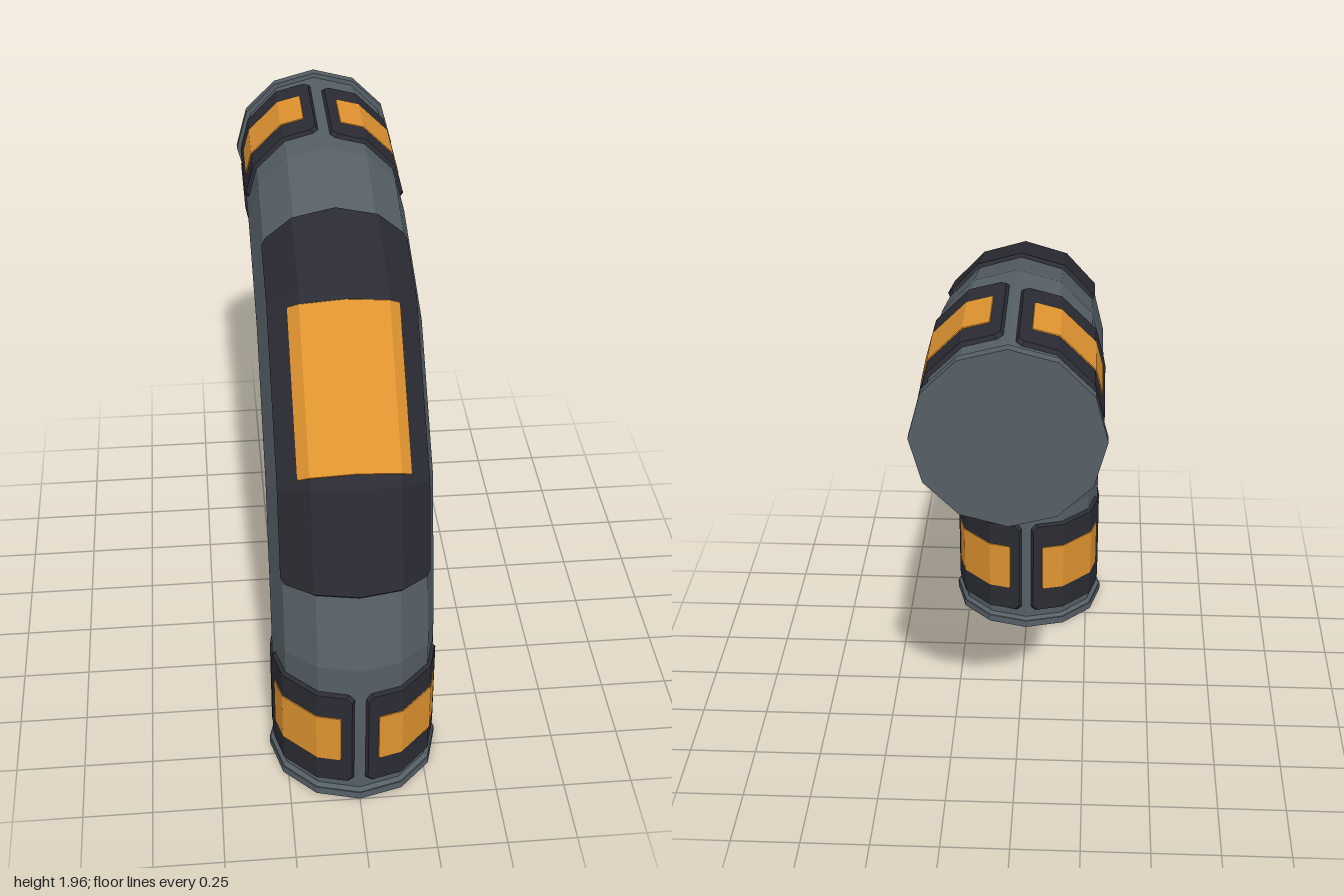
import * as THREE from 'three';

const SIDES = 12, PIPE_R = 0.292, FLANGE_R = 0.31;
const BEND_R = 1.075, BEND_Z = -0.385, BEND_Y = 0.575;
const rad = THREE.MathUtils.degToRad;

// Centreline: upright run, three-segment bend, level run to the back
const path = [new THREE.Vector3(0, 0, 0.69)];
for (let i = 0; i <= 3; i++) {
  const t = rad(30 * i);
  path.push(new THREE.Vector3(0, BEND_Y + BEND_R * Math.sin(t), BEND_Z + BEND_R * Math.cos(t)));
}
path.push(new THREE.Vector3(0, 1.65, -1));
const dirs = path.slice(1).map((p, i) => p.clone().sub(path[i]).normalize());
const outward = (d) => new THREE.Vector3(0, -d.z, d.y);

// Cross-section frames: square to a segment, or mitred at a joint
function frame(seg, s) {
  return { p: path[seg].clone().addScaledVector(dirs[seg], s), n: outward(dirs[seg]) };
}
function joint(j) {
  const mid = dirs[j - 1].clone().add(dirs[j]).normalize();
  return { p: path[j].clone(), n: outward(mid).divideScalar(mid.dot(dirs[j])) };
}
// Point on the faceted tube surface at angle a (degrees, 0 = outside of the bend)
function surfacePoint(f, a, r) {
  const step = 360 / SIDES;
  const local = (((a % step) + step) % step) - step / 2;
  const k = r * Math.cos(rad(step / 2)) / Math.cos(rad(local));
  const v = f.p.clone().addScaledVector(f.n, k * Math.cos(rad(a)));
  v.x += k * Math.sin(rad(a));
  return v;
}

// Flat-shaded geometry from a list of quads
function quadsToGeometry(quads) {
  const out = [];
  for (const [a, b, c, d] of quads) for (const v of [a, b, c, a, c, d]) out.push(v.x, v.y, v.z);
  const g = new THREE.BufferGeometry();
  g.setAttribute('position', new THREE.Float32BufferAttribute(out, 3));
  g.computeVertexNormals();
  return g;
}
function gridQuads(grid) {
  const quads = [];
  for (let i = 0; i + 1 < grid.length; i++)
    for (let j = 0; j + 1 < grid[i].length; j++)
      quads.push([grid[i][j], grid[i][j + 1], grid[i + 1][j + 1], grid[i + 1][j]]);
  return quads;
}

// Bevelled plate with clipped corners, wrapped on the tube
function plateGeometry({ from, to, centre, half, low, high, corner, bevel }) {
  const toDeg = (len) => THREE.MathUtils.radToDeg(len / 0.3);
  const columns = [];
  for (let a = -360; a <= 360; a += 360 / SIDES)
    if (Math.abs(a - centre) < half - toDeg(corner + bevel) - 0.5) columns.push(a);

  const makeGrid = (inset, r) => {
    const wide = half - toDeg(inset), narrow = wide - toDeg(corner);
    const s0 = from[1] + inset, s1 = to[1] - inset;
    const rows = [[frame(from[0], s0), narrow], [frame(from[0], s0 + corner), wide]];
    for (let j = from[0] + 1; j <= to[0]; j++) rows.push([joint(j), wide]);
    rows.push([frame(to[0], s1 - corner), wide], [frame(to[0], s1), narrow]);
    return rows.map(([f, w]) =>
      [centre - w, ...columns, centre + w].map((a) => surfacePoint(f, a, r)));
  };
  const rim = (g) => {
    const last = g.length - 1, end = g[0].length - 1;
    return [...g[0], ...g.slice(1, last).map((row) => row[end]),
      ...g[last].slice().reverse(), ...g.slice(1, last).reverse().map((row) => row[0])];
  };
  const top = makeGrid(bevel, high), base = makeGrid(0, low);
  const t = rim(top), b = rim(base);
  const skirt = t.map((p, i) => {
    const k = (i + 1) % t.length;
    return [p, b[i], b[k], t[k]];
  });
  return quadsToGeometry([...gridQuads(top), ...skirt]);
}

export function createModel() {
  const material = (name, color) => {
    const m = new THREE.MeshStandardMaterial({ color });
    m.name = name;
    return m;
  };
  const steel = material('steel grey', 0x566067);
  const dark = material('dark panel', 0x2b2b34);
  const amber = material('amber', 0xe09430);

  const model = new THREE.Group();
  model.name = 'pipeElbow';
  const add = (name, geometry, mat) => {
    const mesh = new THREE.Mesh(geometry, mat);
    mesh.name = name;
    model.add(mesh);
    return mesh;
  };

  // Bent pipe
  const rows = [frame(0, 0.01), joint(1), joint(2), joint(3), joint(4), frame(4, 0.605)];
  const ring = Array.from({ length: SIDES + 1 }, (_, i) => i * 360 / SIDES);
  add('pipe', quadsToGeometry(gridQuads(
    rows.map((f) => ring.map((a) => surfacePoint(f, a, PIPE_R))))), steel);

  // End flanges with closed faces and a small tapered lip
  const disc = (top, bottom, h) => {
    const g = new THREE.CylinderGeometry(top, bottom, h, SIDES).toNonIndexed();
    g.computeVertexNormals();
    return g;
  };
  add('bottomFlange', disc(FLANGE_R, FLANGE_R, 0.03), steel).position.set(0, 0.015, 0.69);
  add('bottomFlangeLip', disc(PIPE_R, FLANGE_R - 0.004, 0.012), steel).position.set(0, 0.036, 0.69);
  const back = add('backFlange', disc(FLANGE_R, FLANGE_R, 0.035), steel);
  back.rotation.x = -Math.PI / 2;
  back.position.set(0, 1.65, -0.9825);

  // Dark panel with an amber inlay
  const panel = (name, from, to, centre, half, inlayFrom, inlayTo, inlayHalf) => {
    add(name + 'Panel', plateGeometry({
      from, to, centre, half, low: 0.284, high: 0.306, corner: 0.02, bevel: 0.014 }), dark);
    add(name + 'Inlay', plateGeometry({
      from: inlayFrom, to: inlayTo, centre, half: inlayHalf,
      low: 0.302, high: 0.309, corner: 0.005, bevel: 0.004 }), amber);
  };

  // Four panels round each end; the back ones are staggered left to right
  [45, 135, 225, 315].forEach((a, i) => {
    panel('bottom' + (i + 1), [0, 0.065], [0, 0.5], a, 42, [0, 0.18], [0, 0.39], 32.5);
    const s = a < 180 ? 0.055 : 0.1;
    panel('back' + (i + 1), [4, s], [4, s + 0.435], a, 42, [4, s + 0.115], [4, s + 0.325], 32.5);
  });

  // Long panels on the outside and inside of the bend
  panel('outerBend', [1, 0.235], [3, 0.28], 0, 61.5, [2, -0.03], [2, 0.57], 41);
  panel('innerBend', [1, 0.235], [3, 0.28], 180, 61.5, [2, 0.09], [2, 0.47], 25);

  return model;
}
